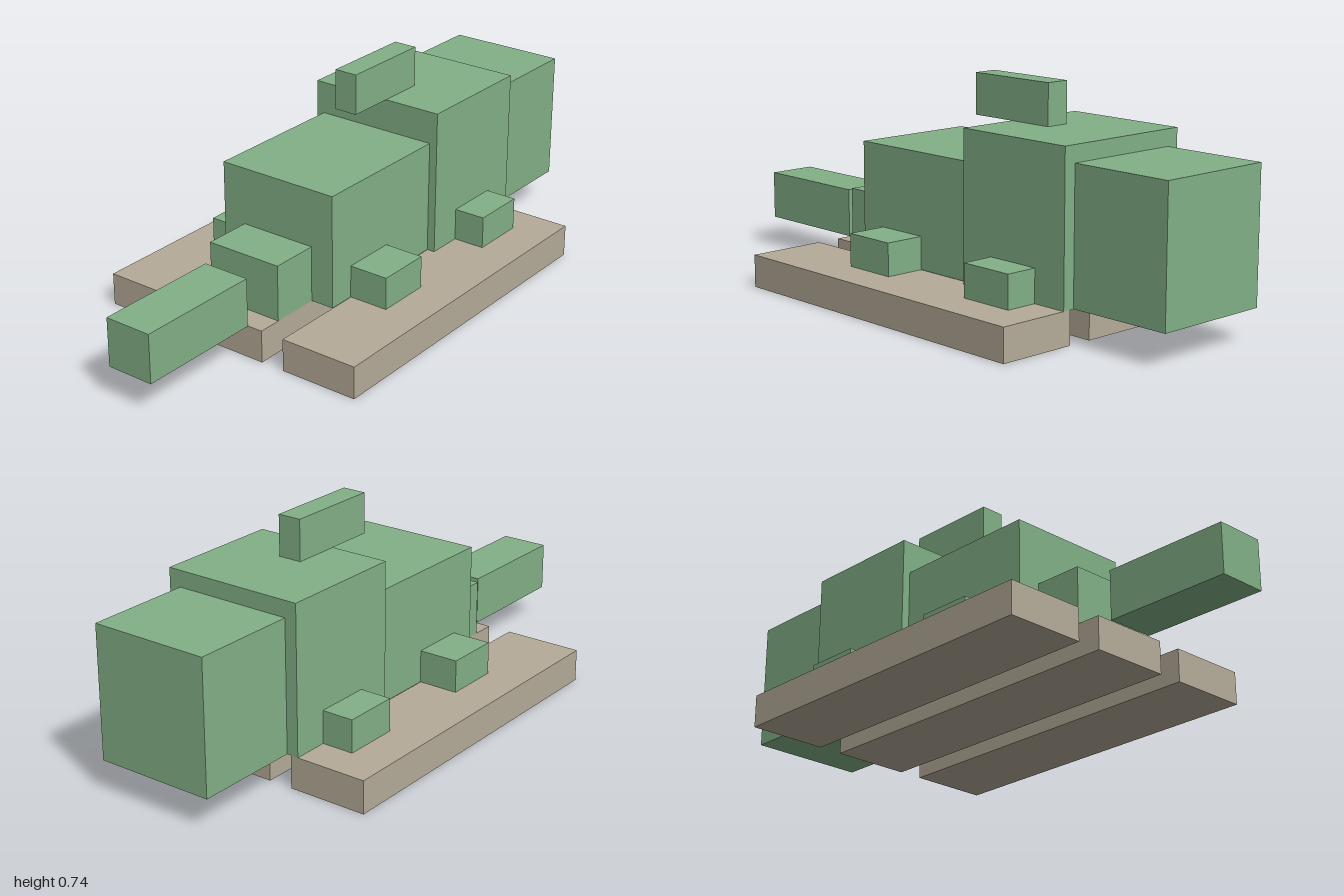
import * as THREE from 'three';

export function createModel() {
  const model = new THREE.Group();
  const green = new THREE.MeshStandardMaterial({ color: 0x82b086 });
  green.name = 'green';
  const tan = new THREE.MeshStandardMaterial({ color: 0xb5ab98 });
  tan.name = 'tan';

  // Box given by its extents along each axis
  function block(name, material, [x0, x1], [y0, y1], [z0, z1]) {
    const mesh = new THREE.Mesh(new THREE.BoxGeometry(x1 - x0, y1 - y0, z1 - z0), material);
    mesh.position.set((x0 + x1) / 2, (y0 + y1) / 2, (z0 + z1) / 2);
    mesh.name = name;
    model.add(mesh);
  }

  const deck = 0.11;

  // Three base planks
  for (const [name, z] of [['leftPlank', -0.355], ['middlePlank', 0], ['rightPlank', 0.355]]) {
    block(name, tan, [-0.563, 0.64], [0, deck], [z - 0.136, z + 0.136]);
  }

  // Body, stepping up from tail to head
  block('tail', green, [-1, -0.565], [deck, 0.275], [-0.083, 0.083]);
  block('hips', green, [-0.482, -0.315], [deck, 0.3], [-0.136, 0.136]);
  block('torso', green, [-0.315, 0.203], [deck, 0.495], [-0.218, 0.218]);
  block('shoulders', green, [0.203, 0.64], [deck, 0.605], [-0.246, 0.246]);
  block('head', green, [0.64, 1], [deck, 0.55], [-0.205, 0.205]);
  block('backFin', green, [0.038, 0.365], [0.605, 0.742], [-0.041, 0.041]);

  // Feet, mirrored across the body
  for (const side of [-1, 1]) {
    const z = side > 0 ? [0.21, 0.356] : [-0.356, -0.21];
    block('hindFoot', green, [-0.22, -0.03], [deck, 0.22], z);
    block('foreFoot', green, [0.326, 0.518], [deck, 0.22], z);
  }

  return model;
}
